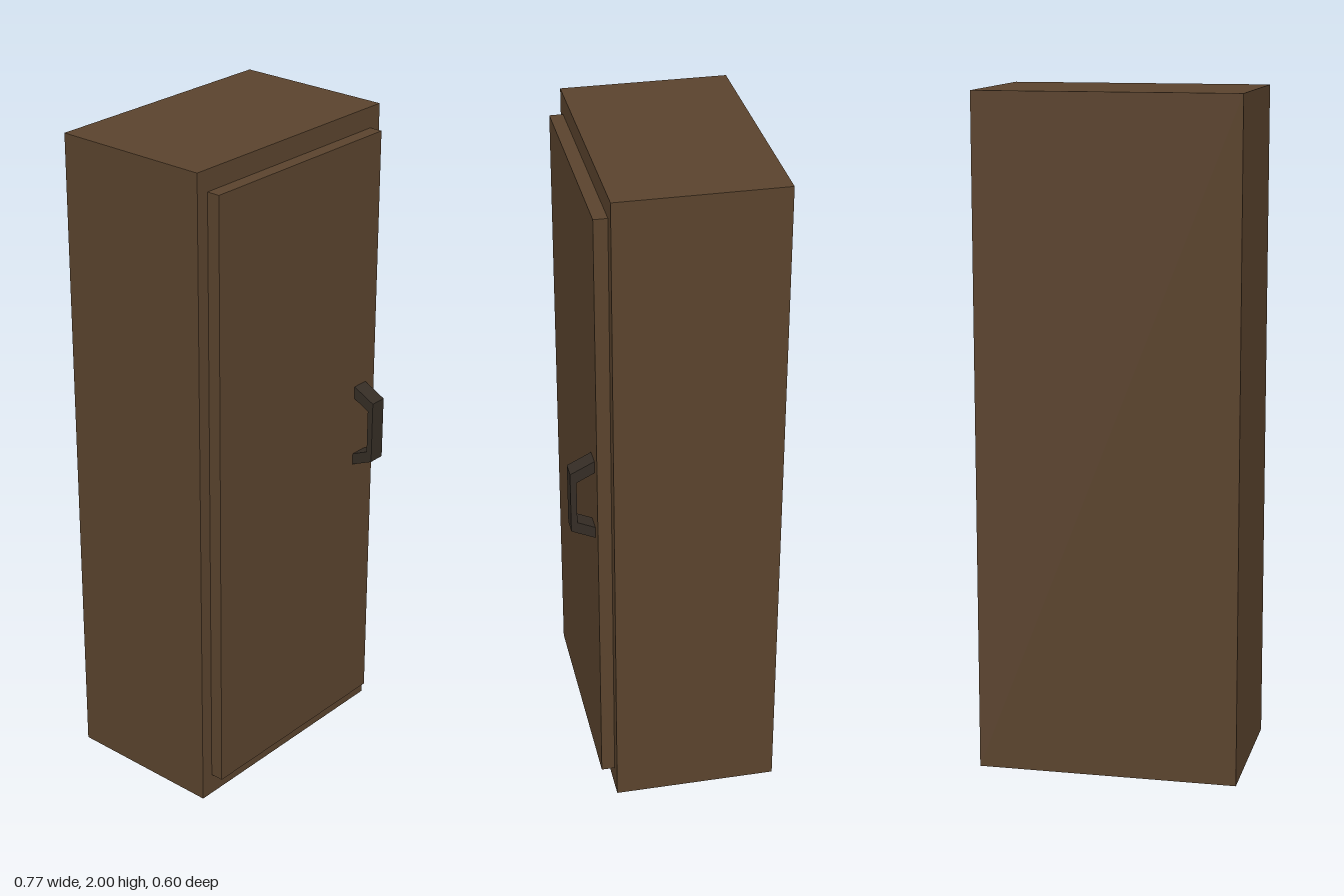
import * as THREE from 'three';

export function createModel() {
  const model = new THREE.Group();
  model.name = 'cabinet';
  const wood = new THREE.MeshStandardMaterial({ color: 0x5a432d });
  wood.name = 'dark brown wood';
  const metal = new THREE.MeshStandardMaterial({ color: 0x352d25 });
  metal.name = 'blackened metal';

  // Box given by its minimum and maximum corners
  const addBox = (name, [x0, y0, z0], [x1, y1, z1]) => {
    const mesh = new THREE.Mesh(new THREE.BoxGeometry(x1 - x0, y1 - y0, z1 - z0), wood);
    mesh.position.set((x0 + x1) / 2, (y0 + y1) / 2, (z0 + z1) / 2);
    mesh.name = name;
    model.add(mesh);
  };
  addBox('cabinetBody', [-0.387, 0, -0.3], [0.387, 2, 0.19]);
  addBox('door', [-0.347, 0.067, 0.19], [0.347, 1.937, 0.23]);

  // Bracket handle: side profile as (z, y), extruded across x
  const profile = [
    [0.23, 0.905], [0.3, 0.937], [0.3, 1.13], [0.23, 1.165],
    [0.23, 1.127], [0.282, 1.1], [0.282, 0.965], [0.23, 0.941],
  ].map(([z, y]) => new THREE.Vector2(z, y));
  const geometry = new THREE.ExtrudeGeometry(new THREE.Shape(profile), { depth: 0.052, bevelEnabled: false });
  geometry.rotateY(-Math.PI / 2);
  const handle = new THREE.Mesh(geometry, metal);
  handle.position.x = 0.307;
  handle.name = 'doorHandle';
  model.add(handle);

  return model;
}
